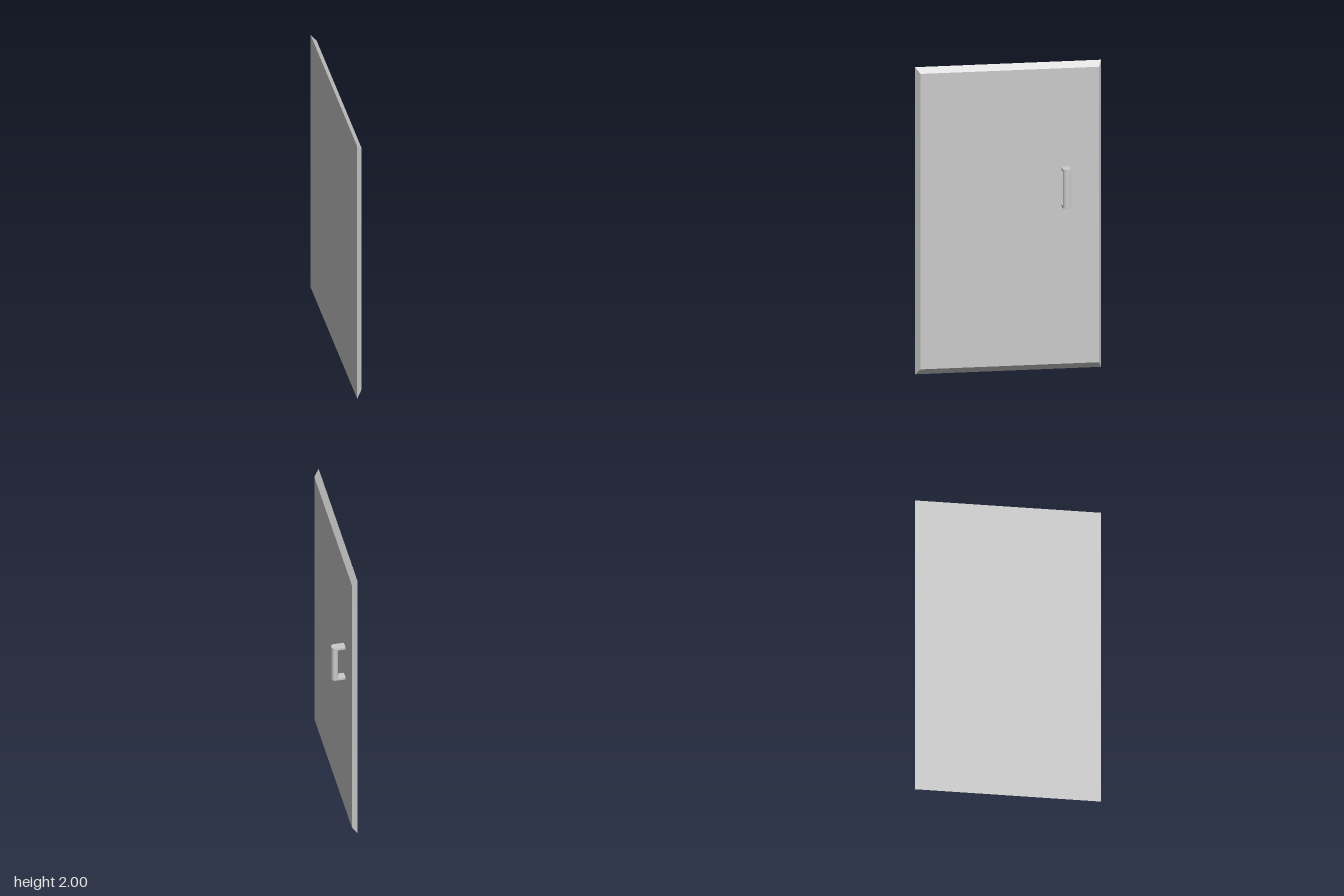
import * as THREE from 'three';

export function createModel() {
  const group = new THREE.Group();
  const material = new THREE.MeshStandardMaterial({ color: 0xcccccc });
  const add = (name, geometry, parent = group) => {
    const mesh = new THREE.Mesh(geometry, material);
    mesh.name = name;
    parent.add(mesh);
    return mesh;
  };

  // Door panel: a thin slab whose +x face is inset to make a bevelled border
  const panel = new THREE.BoxGeometry(0.034, 2, 1.18);
  const pos = panel.attributes.position;
  for (let i = 0; i < pos.count; i++) {
    if (pos.getX(i) < 0) continue;
    pos.setY(i, pos.getY(i) > 0 ? 0.964 : -0.96);
    pos.setZ(i, pos.getZ(i) > 0 ? 0.56 : -0.573);
  }
  panel.computeVertexNormals();
  add('doorPanel', panel).position.set(-0.045, 1, 0);

  // Pull handle
  const handle = new THREE.Group();
  handle.name = 'handle';
  handle.position.set(0, 1.197, -0.358);
  group.add(handle);

  // Upright grip, slightly oval
  const r = 0.025, halfHeight = 0.127, armThickness = 0.016;
  const grip = add('grip', new THREE.CylinderGeometry(r, r, 2 * halfHeight, 32), handle);
  grip.scale.x = 0.86;
  grip.position.x = 0.0375;

  // Two flat arms with rounded outer ends
  const outline = new THREE.Shape();
  outline.moveTo(-0.03, -r);
  outline.lineTo(0.034, -r);
  outline.absarc(0.034, 0, r, -Math.PI / 2, Math.PI / 2, false);
  outline.lineTo(-0.03, r);
  outline.closePath();
  const arm = new THREE.ExtrudeGeometry(outline, { depth: armThickness, bevelEnabled: false, curveSegments: 16 });
  arm.rotateX(-Math.PI / 2);
  add('upperArm', arm, handle).position.y = halfHeight - armThickness;
  add('lowerArm', arm, handle).position.y = -halfHeight;

  return group;
}
